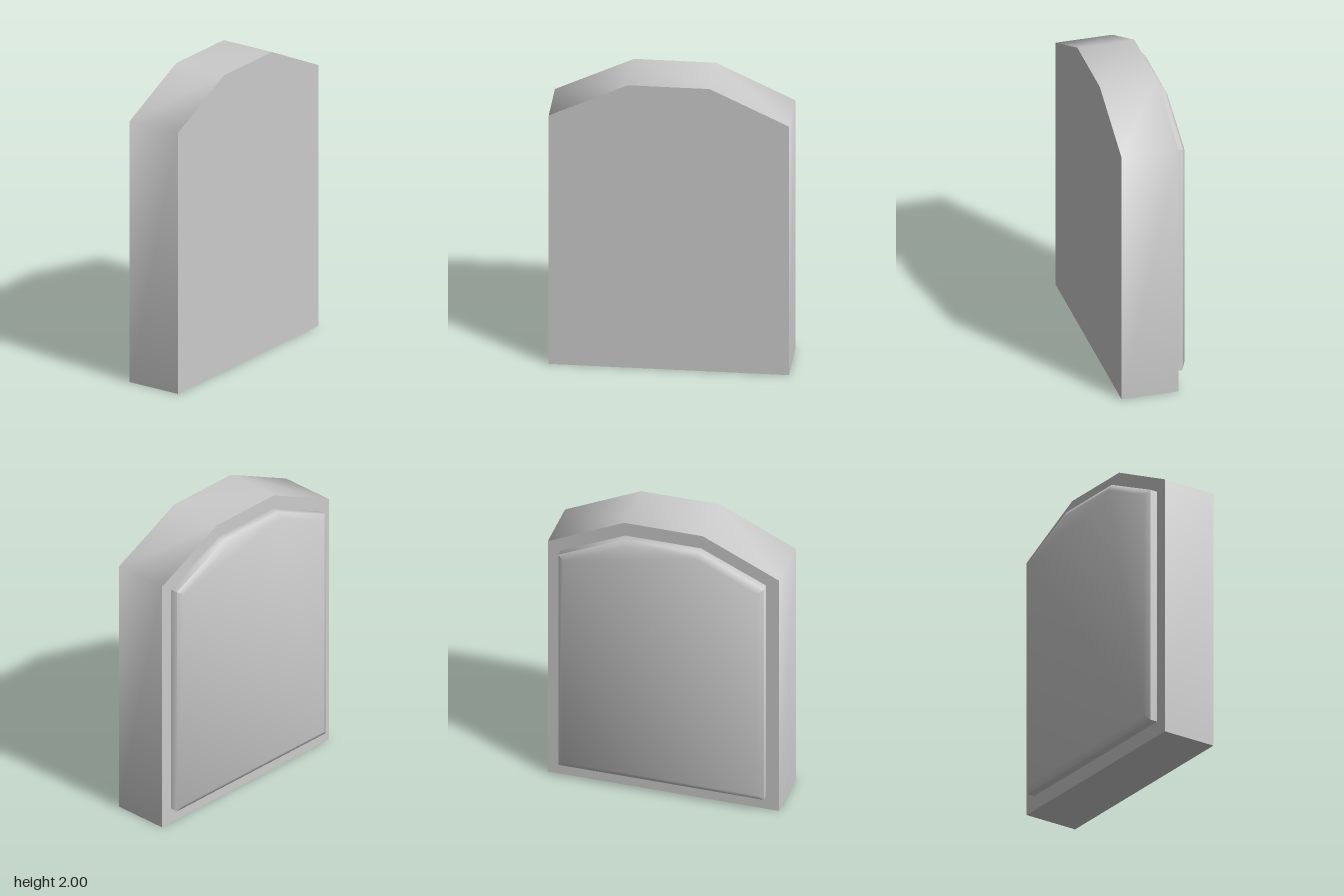
import * as THREE from 'three';
import { toCreasedNormals } from 'three/addons/utils/BufferGeometryUtils.js';

const material = new THREE.MeshStandardMaterial({ color: 0xcccccc });

// Slab outline: straight sides, sloped shoulders and a flat top, mirrored about z = 0
function outline(halfWidth, bottom, shoulder, halfTop, top) {
  const half = [[halfWidth, bottom], [halfWidth, shoulder], [halfTop, top]];
  const mirrored = half.map(([z, y]) => [-z, y]).reverse();
  return new THREE.Shape([...half, ...mirrored].map(([z, y]) => new THREE.Vector2(z, y)));
}

// Extrude an outline towards -x, starting at the given x
function slab(name, shape, startX, options) {
  const geometry = new THREE.ExtrudeGeometry(shape, options);
  geometry.rotateY(-Math.PI / 2);
  geometry.translate(startX, 0, 0);
  const mesh = new THREE.Mesh(toCreasedNormals(geometry, 1.2), material);
  mesh.name = name;
  return mesh;
}

export function createModel() {
  const group = new THREE.Group();
  group.name = 'panelledSlab';

  // Thick main block
  group.add(slab('body', outline(0.765, 0, 1.76, 0.26, 2), 0.225,
    { depth: 0.375, bevelEnabled: false }));

  // Raised panel with a chamfered rim, its rear chamfer sunk into the body
  group.add(slab('raisedPanel', outline(0.68, 0.1, 1.706, 0.25, 1.905), -0.1, {
    depth: 0.1, bevelEnabled: true, bevelThickness: 0.025,
    bevelSize: 0.04, bevelOffset: -0.04, bevelSegments: 1,
  }));

  return group;
}
